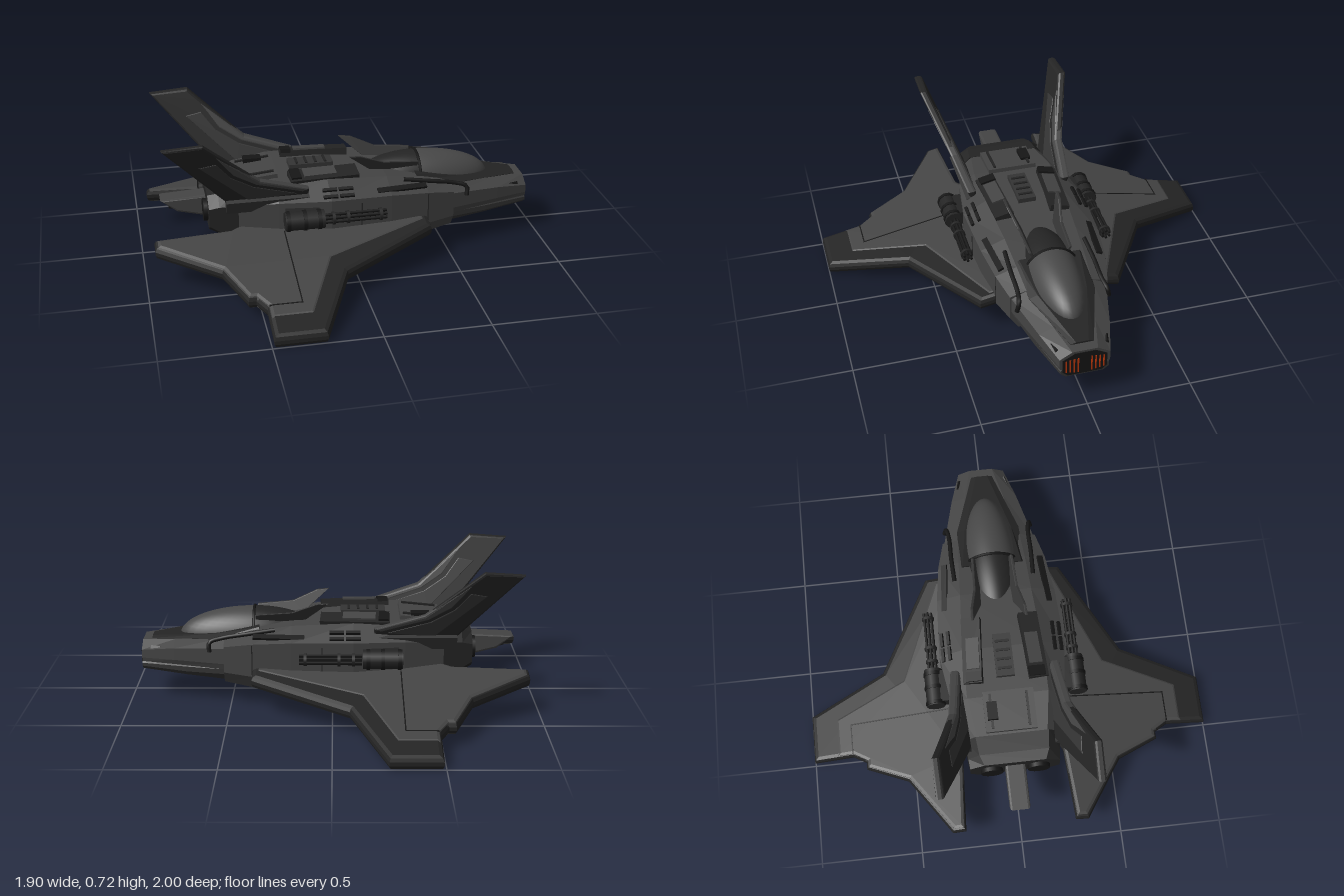
import * as THREE from 'three';

const mat = (name, color) => {
  const m = new THREE.MeshStandardMaterial({ color });
  m.name = name;
  return m;
};

export function createModel() {
  const hull = mat('hull grey', 0x444444);
  const dark = mat('dark trim', 0x242424);
  const mid = mat('panel grey', 0x343434);
  const black = mat('black metal', 0x161616);
  const glass = mat('canopy glass', 0x484848);
  const glow = mat('orange vent', 0xc23a0c);
  const model = new THREE.Group();

  const add = (name, geo, m) => {
    const mesh = new THREE.Mesh(geo, m);
    mesh.name = name;
    model.add(mesh);
    return mesh;
  };

  // Adds a part on the +z side and its mirror image on the -z side
  const addPair = (name, geo, m) => {
    const a = geo.index ? geo.toNonIndexed() : geo;
    const b = a.clone();
    for (const key of ['position', 'normal']) {
      const p = b.attributes[key];
      for (let i = 0; i < p.count; i += 3) {
        const t = [0, 2, 1].map(k => [p.getX(i + k), p.getY(i + k), -p.getZ(i + k)]);
        t.forEach((v, k) => p.setXYZ(i + k, ...v));
      }
    }
    add(name + 'Left', b, m);
    add(name + 'Right', a, m);
  };

  const box = (w, h, d, x, y, z, rx = 0, ry = 0, rz = 0) =>
    new THREE.BoxGeometry(w, h, d).rotateX(rx).rotateZ(rz).rotateY(ry).translate(x, y, z);
  const rod = (r, len, x, y, z, sides = 12) =>
    new THREE.CylinderGeometry(r, r, len, sides).rotateZ(-Math.PI / 2).translate(x, y, z);

  // Eight-sided hull loft; section: x, zTop, zMid, zBottom, yTop, yShoulder, yLow, yBottom
  const loft = sections => {
    const rings = sections.map(([x, zt, zm, zb, yt, ys, yl, yb]) =>
      [[zt, yt], [zm, ys], [zm, yl], [zb, yb], [-zb, yb], [-zm, yl], [-zm, ys], [-zt, yt]]
        .map(([z, y]) => [x, y, z]));
    const pos = [];
    const tri = (...v) => v.forEach(p => pos.push(...p));
    for (let s = 0; s < rings.length - 1; s++) {
      const a = rings[s], b = rings[s + 1];
      for (let i = 0; i < 8; i++) {
        const j = (i + 1) % 8;
        tri(a[i], a[j], b[i]);
        tri(b[i], a[j], b[j]);
      }
    }
    const back = rings[0], front = rings[rings.length - 1];
    for (let i = 1; i < 7; i++) {
      tri(front[0], front[i], front[i + 1]);
      tri(back[0], back[i + 1], back[i]);
    }
    const g = new THREE.BufferGeometry();
    g.setAttribute('position', new THREE.Float32BufferAttribute(pos, 3));
    g.computeVertexNormals();
    return g;
  };

  // Bevelled plate centred on its thickness
  const plate = (pts, thick, bevel) => {
    const shape = new THREE.Shape(pts.map(p => new THREE.Vector2(...p)));
    const depth = thick - 2 * bevel;
    return new THREE.ExtrudeGeometry(shape, {
      depth, bevelEnabled: bevel > 0, bevelThickness: bevel, bevelSize: bevel,
      bevelOffset: -bevel, bevelSegments: 2,
    }).translate(0, 0, -depth / 2);
  };
  const bend = (g, rule) => {
    const p = g.attributes.position;
    for (let i = 0; i < p.count; i++) p.setXYZ(i, ...rule(p.getX(i), p.getY(i), p.getZ(i)));
    g.computeVertexNormals();
    return g;
  };

  // Fuselage
  add('fuselage', loft([
    [-0.56, 0.17, 0.23, 0.17, 0.385, 0.33, 0.19, 0.14],
    [-0.35, 0.20, 0.28, 0.22, 0.415, 0.35, 0.16, 0.105],
    [-0.10, 0.20, 0.315, 0.25, 0.42, 0.355, 0.16, 0.09],
    [0.20, 0.18, 0.30, 0.25, 0.40, 0.35, 0.17, 0.09],
    [0.39, 0.17, 0.275, 0.23, 0.37, 0.335, 0.17, 0.10],
    [0.53, 0.16, 0.24, 0.20, 0.335, 0.31, 0.18, 0.12],
  ]), hull);
  add('rearBlock', loft([
    [-0.68, 0.15, 0.22, 0.18, 0.365, 0.32, 0.23, 0.20],
    [-0.63, 0.17, 0.225, 0.18, 0.38, 0.33, 0.20, 0.17],
    [-0.54, 0.18, 0.235, 0.18, 0.39, 0.335, 0.19, 0.14],
  ]), dark);

  // Nose with a separate lower jaw
  add('nose', loft([
    [0.52, 0.16, 0.235, 0.225, 0.335, 0.30, 0.22, 0.19],
    [0.78, 0.10, 0.17, 0.16, 0.305, 0.28, 0.22, 0.195],
    [0.945, 0.06, 0.12, 0.115, 0.29, 0.255, 0.215, 0.195],
  ]), hull);
  add('lowerJaw', loft([
    [0.45, 0.21, 0.225, 0.18, 0.20, 0.185, 0.16, 0.115],
    [0.72, 0.15, 0.17, 0.13, 0.20, 0.185, 0.16, 0.13],
    [0.945, 0.10, 0.115, 0.09, 0.20, 0.185, 0.17, 0.15],
  ]), mid);
  add('noseGrille', loft([
    [0.94, 0.05, 0.105, 0.08, 0.28, 0.25, 0.18, 0.157],
    [0.948, 0.05, 0.105, 0.08, 0.28, 0.25, 0.18, 0.157],
  ]), black);
  for (let i = 0; i < 4; i++)
    addPair('noseVent', box(0.006, 0.085 - i * 0.006, 0.007, 0.947, 0.21, 0.032 + i * 0.019), glow);
  addPair('noseSlot', box(0.05, 0.022, 0.008, 0.875, 0.268, 0.128, -0.5, 0.3), black);

  // Canopy and the fairing behind it
  add('canopyFrame', loft([
    [0.36, 0.15, 0.17, 0.16, 0.385, 0.36, 0.33, 0.30],
    [0.58, 0.12, 0.16, 0.15, 0.34, 0.325, 0.31, 0.29],
    [0.90, 0.03, 0.055, 0.05, 0.303, 0.296, 0.285, 0.28],
  ]), dark);
  const dome = (start, sx) => new THREE.SphereGeometry(1, 20, 12, start, Math.PI, 0, Math.PI / 2)
    .scale(sx, 0.145, 0.135).translate(0.39, 0.30, 0);
  add('canopyGlass', dome(Math.PI / 2, 0.375), glass);
  add('canopyFairing', dome(-Math.PI / 2, 0.33), dark);
  add('canopyHoop', new THREE.TorusGeometry(0.136, 0.008, 6, 24, Math.PI)
    .rotateY(Math.PI / 2).scale(1, 1.06, 1).translate(0.39, 0.30, 0), black);
  addPair('dorsalFlap', bend(plate([[0.02, 0.50], [0.08, 0.495], [0.20, 0.445], [0.38, 0.43],
    [0.38, 0.40], [0.15, 0.39]].reverse(), 0.014, 0.003),
    (x, y, z) => [x, y, z + 0.10 + (y - 0.43) * 0.5]), mid);

  // Wings: dark slab with a raised grey panel, drooping toward the tips
  const droop = g => bend(g.rotateX(Math.PI / 2),
    (x, y, z) => [x, y + 0.034 + (1 - z) * 0.207, z]);
  addPair('wingEdge', droop(plate([[-0.95, 0.27], [-0.60, 0.25], [-0.5, 0.2], [0.39, 0.2], [0.39, 0.35],
    [-0.08, 0.615], [-0.25, 1], [-0.49, 1], [-0.49, 0.80], [-0.53, 0.735], [-0.565, 0.735],
    [-0.66, 0.53], [-0.95, 0.335]], 0.062, 0.022)), dark);
  addPair('wingPanel', droop(plate([[-0.94, 0.275], [-0.58, 0.25], [-0.5, 0.2], [0.36, 0.2], [0.37, 0.305],
    [-0.135, 0.52], [-0.285, 0.88], [-0.485, 0.88], [-0.485, 0.80], [-0.53, 0.73], [-0.562, 0.73],
    [-0.655, 0.525], [-0.94, 0.33]], 0.068, 0.018)), hull);
  addPair('wingSeam', droop(plate([[-0.333, 0.3], [-0.327, 0.3], [-0.327, 0.803], [-0.48, 0.803],
    [-0.48, 0.797], [-0.333, 0.797]], 0.071, 0)), black);

  // Canted tail fins with inset panels
  const cant = g => bend(g, (x, y, z) => [x, y, z + 0.215 + (y - 0.33) * 0.41]);
  addPair('tailFin', cant(plate([[-0.90, 0.712], [-0.56, 0.32], [-0.20, 0.36], [-0.20, 0.41],
    [-0.44, 0.485], [-0.66, 0.68], [-0.71, 0.725]], 0.042, 0.012)), dark);
  addPair('finLeadingEdge', cant(plate([[-0.66, 0.665], [-0.57, 0.53], [-0.46, 0.46], [-0.23, 0.39],
    [-0.20, 0.412], [-0.44, 0.488]], 0.046, 0.012)), hull);
  addPair('finPanel', cant(plate([[-0.73, 0.60], [-0.49, 0.37], [-0.26, 0.39], [-0.47, 0.455],
    [-0.58, 0.525], [-0.65, 0.615]], 0.048, 0.004)), mid);
  addPair('finRoot', box(0.40, 0.07, 0.06, -0.40, 0.35, 0.235, 0.4), mid);

  // Rear tail paddle and exhaust
  add('tailPaddle', plate([[-0.90, 0.305], [-0.82, 0.24], [-0.66, 0.20], [-0.62, 0.32]], 0.10, 0.012), hull);
  add('tailStrut', box(0.16, 0.012, 0.03, -0.78, 0.235, 0, 0, 0, -0.25), black);
  addPair('exhaust', rod(0.055, 0.04, -0.68, 0.275, 0.115, 16), black);

  // Dorsal equipment
  add('rearHatch', box(0.20, 0.03, 0.25, -0.43, 0.412, 0, 0, 0, 0.1), hull);
  addPair('hatchRail', box(0.17, 0.012, 0.012, -0.43, 0.43, 0.09, 0, 0, 0.1), dark);
  add('hatchMotor', box(0.05, 0.025, 0.09, -0.43, 0.432, -0.085, 0, Math.PI / 2), black);
  add('spineBox', box(0.22, 0.03, 0.09, -0.15, 0.425, 0), mid);
  for (let i = 0; i < 4; i++) add('spineRib', box(0.012, 0.014, 0.07, -0.22 + i * 0.047, 0.439, 0), dark);
  addPair('dorsalIntake', box(0.34, 0.045, 0.095, -0.11, 0.415, 0.15, 0.2, 0.06), dark);
  addPair('intakePanel', box(0.16, 0.012, 0.065, -0.13, 0.441, 0.15, 0.2, 0.06), hull);
  addPair('intakeCap', box(0.05, 0.02, 0.08, -0.25, 0.438, 0.155, 0.2, 0.06), black);

  // Side slots and pipes
  addPair('sideSlot', box(0.25, 0.012, 0.03, 0.26, 0.365, 0.255, 0.4, 0.08), black);
  for (const x of [-0.10, -0.02])
    for (const z of [0.262, 0.295])
      addPair('shoulderVent', box(0.07, 0.012, 0.016, x, 0.41 - (z - 0.235) * 0.65, z, 0.5), black);
  const pipe = new THREE.CatmullRomCurve3([[0.28, 0.385, 0.20], [0.42, 0.365, 0.205],
    [0.54, 0.345, 0.205], [0.60, 0.325, 0.215], [0.60, 0.28, 0.225]].map(p => new THREE.Vector3(...p)));
  addPair('sidePipe', new THREE.TubeGeometry(pipe, 20, 0.011, 8), black);
  for (const x of [0.05, 0.39])
    addPair('hullSeam', box(0.005, 0.15, 0.006, x, 0.255, x < 0.2 ? 0.307 : 0.273), dark);

  // Rotary cannons
  addPair('cannonMount', box(0.16, 0.07, 0.07, -0.24, 0.29, 0.31), dark);
  addPair('cannonBody', rod(0.046, 0.19, -0.24, 0.29, 0.355, 10), dark);
  for (const x of [-0.32, -0.24, -0.17]) addPair('cannonBand', rod(0.05, 0.018, x, 0.29, 0.355, 10), black);
  for (let i = 0; i < 6; i++) {
    const a = i * Math.PI / 3;
    addPair('cannonBarrel', rod(0.007, 0.3, 0.01, 0.287 + Math.cos(a) * 0.02, 0.355 + Math.sin(a) * 0.02, 6), black);
  }
  for (const x of [-0.10, -0.03, 0.13]) addPair('barrelClamp', rod(0.031, 0.014, x, 0.287, 0.355), dark);

  return model;
}
